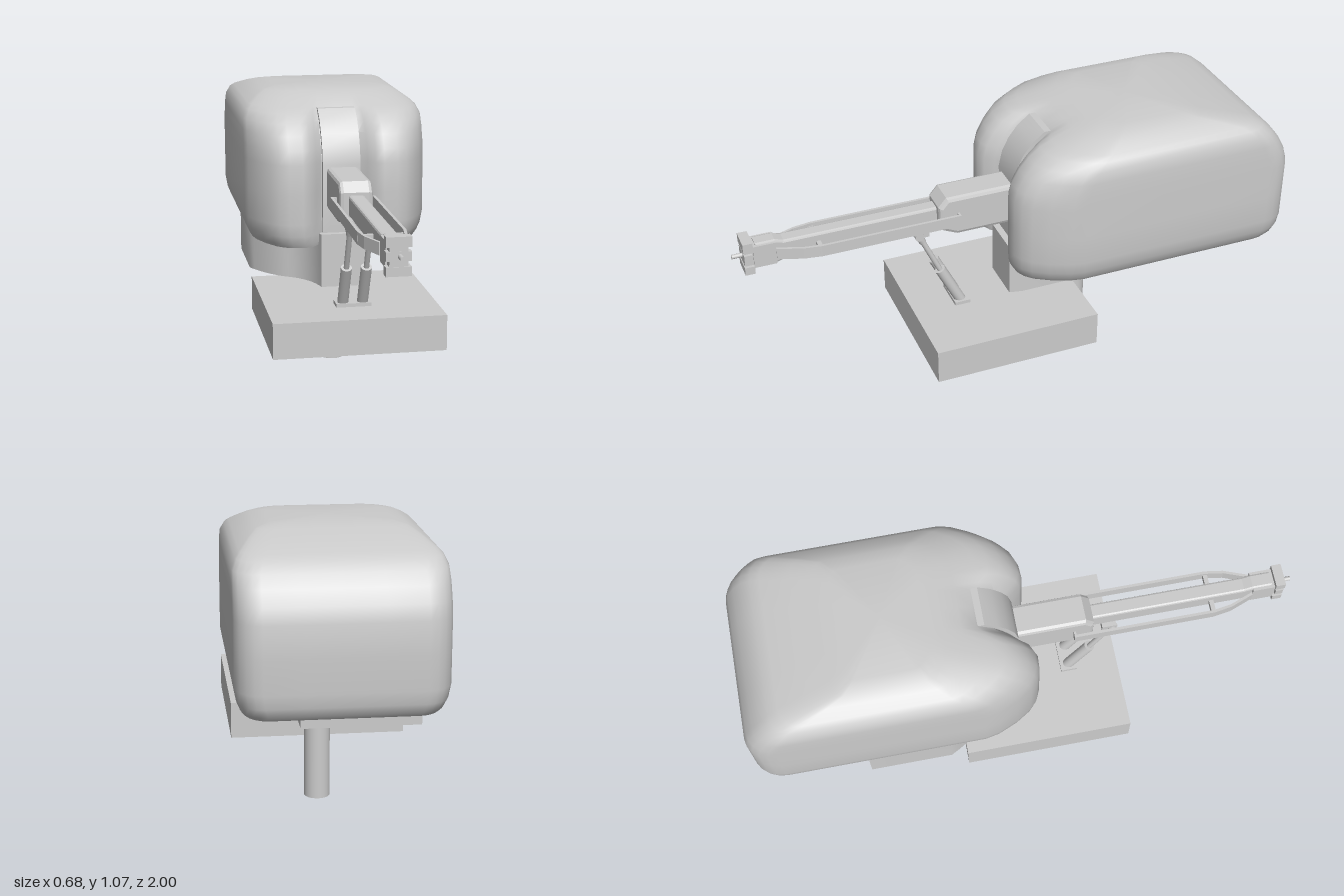
import * as THREE from 'three';
import { toCreasedNormals } from 'three/addons/utils/BufferGeometryUtils.js';

const grey = new THREE.MeshStandardMaterial({ color: 0xcccccc, side: THREE.DoubleSide });

function add(parent, name, geometry, x = 0, y = 0, z = 0) {
  const mesh = new THREE.Mesh(geometry, grey);
  mesh.name = name;
  mesh.position.set(x, y, z);
  parent.add(mesh);
  return mesh;
}

// Box given by its limits on each axis
function block(parent, name, [x0, x1], [y0, y1], [z0, z1]) {
  return add(parent, name, new THREE.BoxGeometry(x1 - x0, y1 - y0, z1 - z0),
    (x0 + x1) / 2, (y0 + y1) / 2, (z0 + z1) / 2);
}

// Cylinder between two points
function rod(parent, name, a, b, r0, r1 = r0, sides = 16) {
  const from = new THREE.Vector3(...a), to = new THREE.Vector3(...b);
  const dir = to.clone().sub(from);
  const mesh = add(parent, name, new THREE.CylinderGeometry(r1, r0, dir.length(), sides));
  mesh.position.copy(from).add(to).multiplyScalar(0.5);
  mesh.quaternion.setFromUnitVectors(new THREE.Vector3(0, 1, 0), dir.normalize());
  return mesh;
}

// Outline in (z, y) extruded across x, centred on x = 0
function sideExtrude(points, width, bevel = 0) {
  const shape = new THREE.Shape(points.map(([z, y]) => new THREE.Vector2(-z, y)));
  const geometry = new THREE.ExtrudeGeometry(shape, {
    depth: width - 2 * bevel, bevelEnabled: bevel > 0, bevelSize: bevel,
    bevelThickness: bevel, bevelOffset: -bevel, bevelSegments: 2
  });
  geometry.translate(0, 0, -width / 2 + bevel);
  return geometry.rotateY(Math.PI / 2);
}

// Plan outline of the housing at one height, with a notch between two front lobes
function planLoop(w, front, back, notch) {
  const s = w / 0.34, f = Math.min(1, (front - back) / 1.04);
  const half = [[0, back], [0.13, back], [0.255, back]];
  for (let i = 1; i <= 5; i++) {
    const a = (i / 5) * Math.PI / 2;
    half.push([0.255 + 0.085 * Math.sin(a), back + 0.1 * f * (1 - Math.cos(a))]);
  }
  const nose = [[0.34, -0.22], [0.33, -0.17], [0.3, -0.1], [0.265, -0.045],
    [0.235, -0.018], [0.2, -0.003], [0.15, 0]];
  for (const [x, z] of nose) half.push([x, front + z * f]);
  for (const [x, k] of [[0.12, 0.2], [0.095, 0.65], [0.072, 1], [0, 1]]) half.push([x, front - notch * k]);
  const right = half.map(([x, z]) => [x * s, z]);
  const left = right.slice(1, -1).reverse().map(([x, z]) => [-x, z]);
  return right.concat(left);
}

function housingGeometry() {
  // height, half width, front z, back z, notch depth; the first two rows are the hollow underside
  const levels = [
    [0.56, 0.29, 0.0, -0.95, 0.06], [0.52, 0.29, 0.0, -0.95, 0.06],
    [0.52, 0.31, 0.02, -0.97, 0.06], [0.535, 0.32, 0.028, -0.985, 0.06],
    [0.565, 0.332, 0.037, -0.996, 0.065], [0.61, 0.34, 0.04, -1, 0.07],
    [0.72, 0.34, 0.04, -1, 0.07], [0.83, 0.34, 0.04, -1, 0.07],
    [0.88, 0.34, 0.028, -0.985, 0.07], [0.93, 0.34, 0.0, -0.957, 0.07],
    [0.97, 0.338, -0.035, -0.925, 0.065], [1.0, 0.325, -0.08, -0.89, 0.06],
    [1.015, 0.31, -0.125, -0.855, 0.035], [1.04, 0.275, -0.21, -0.75, 0],
    [1.056, 0.245, -0.27, -0.67, 0], [1.065, 0.2, -0.32, -0.62, 0]
  ];
  const positions = [], index = [];
  let n = 0;
  for (const [y, w, front, back, notch] of levels) {
    const loop = planLoop(w, front, back, notch);
    n = loop.length;
    for (const [x, z] of loop) positions.push(x, y, z);
  }
  const floor = levels.length * n, roof = floor + 1, last = (levels.length - 1) * n;
  positions.push(0, 0.56, -0.48, 0, 1.065, -0.47);
  for (let i = 0; i < n; i++) {
    const j = (i + 1) % n;
    for (let k = 0; k < last; k += n) index.push(k + i, k + n + i, k + j, k + j, k + n + i, k + n + j);
    index.push(floor, i, j, roof, last + j, last + i);
  }
  const geometry = new THREE.BufferGeometry();
  geometry.setAttribute('position', new THREE.Float32BufferAttribute(positions, 3));
  geometry.setIndex(index);
  return toCreasedNormals(geometry, 0.7);
}

export function createModel() {
  const model = new THREE.Group();
  model.name = 'gunTurret';

  // Supports
  rod(model, 'post', [0.006, 0, -0.28], [0.006, 0.37, -0.28], 0.046, 0.046, 32);
  block(model, 'platform', [-0.31, 0.31], [0.215, 0.345], [-0.25, 0.37]);
  const plan = new THREE.Shape();
  plan.moveTo(-0.31, 0.61);
  plan.lineTo(0.1, 0.61);
  plan.lineTo(0.1, 0.04);
  plan.lineTo(0.09, -0.01);
  plan.lineTo(-0.08, -0.01);
  plan.quadraticCurveTo(-0.1, 0.1, -0.18, 0.15);
  plan.quadraticCurveTo(-0.25, 0.19, -0.31, 0.31);
  const base = new THREE.ExtrudeGeometry(plan, { depth: 0.2, bevelEnabled: false, curveSegments: 8 });
  add(model, 'turretBase', toCreasedNormals(base.rotateX(-Math.PI / 2), 0.5), 0, 0.365, 0);

  // Housing and the curved shield in its front slot
  add(model, 'housing', housingGeometry());
  const shield = [[-0.16, 0.545], [-0.015, 0.545], [-0.012, 0.82], [-0.025, 0.88],
    [-0.05, 0.93], [-0.085, 0.975], [-0.13, 1.01], [-0.16, 1.01]];
  add(model, 'slotShield', toCreasedNormals(sideExtrude(shield, 0.14), 0.5));

  // Gun
  const gun = new THREE.Group();
  gun.name = 'gun';
  gun.position.x = 0.004;
  model.add(gun);
  const cradle = [[-0.06, 0.655], [0.2, 0.655], [0.265, 0.685], [0.265, 0.775], [0.235, 0.81], [-0.06, 0.81]];
  add(gun, 'cradle', sideExtrude(cradle, 0.118, 0.014));
  const sleeve = [[0.2, 0.69], [0.82, 0.69], [0.85, 0.68], [0.92, 0.68], [0.92, 0.775],
    [0.85, 0.775], [0.82, 0.765], [0.2, 0.765]];
  add(gun, 'barrelSleeve', sideExtrude(sleeve, 0.056, 0.008));
  block(gun, 'muzzleCollar', [-0.036, 0.036], [0.685, 0.77], [0.85, 0.93]);
  block(gun, 'muzzleBlock', [-0.03, 0.03], [0.69, 0.77], [0.92, 0.962]);
  for (const [y0, y1] of [[0.665, 0.695], [0.757, 0.79]])
    block(gun, 'muzzleLug', [-0.041, 0.041], [y0, y1], [0.93, 0.965]);
  block(gun, 'muzzleFace', [-0.041, 0.041], [0.712, 0.743], [0.935, 0.963]);
  rod(gun, 'muzzleTip', [0.004, 0.728, 0.95], [0.004, 0.728, 1], 0.008);
  block(gun, 'crossbar', [-0.08, 0.08], [0.715, 0.735], [0.692, 0.708]);
  block(gun, 'hangerBracket', [-0.044, 0.044], [0.662, 0.695], [0.3, 0.352]);

  // Side rails that close in on the muzzle, and the twin elevating rams
  for (const side of [-1, 1]) {
    const path = [[0.076, 0.19], [0.076, 0.7], [0.066, 0.765], [0.034, 0.85]];
    const outer = path.map(([x, z]) => new THREE.Vector2(side * (x + 0.005), -z));
    const inner = path.map(([x, z]) => new THREE.Vector2(side * (x - 0.005), -z)).reverse();
    const rail = new THREE.ExtrudeGeometry(new THREE.Shape(outer.concat(inner)), { depth: 0.042, bevelEnabled: false });
    add(gun, 'sideRail', rail.rotateX(-Math.PI / 2), 0, 0.704, 0);
    block(gun, 'railStop', [side * 0.066 - 0.015, side * 0.066 + 0.015], [0.704, 0.746], [0.19, 0.198]);

    const x = side * 0.036;
    rod(gun, 'ramCylinder', [x, 0.35, 0.185], [x, 0.505, 0.262], 0.02);
    rod(gun, 'ramPiston', [x, 0.5, 0.26], [x, 0.66, 0.333], 0.01);
    rod(gun, 'ramHead', [x, 0.64, 0.324], [x, 0.682, 0.343], 0.013, 0.016);
    const pin = rod(gun, 'ramPin', [x - 0.016, 0.67, 0.338], [x + 0.016, 0.67, 0.338], 0.016);
    pin.name = 'ramPin';
  }
  block(model, 'ramFoot', [-0.06, 0.068], [0.34, 0.358], [0.155, 0.215]);

  return model;
}
